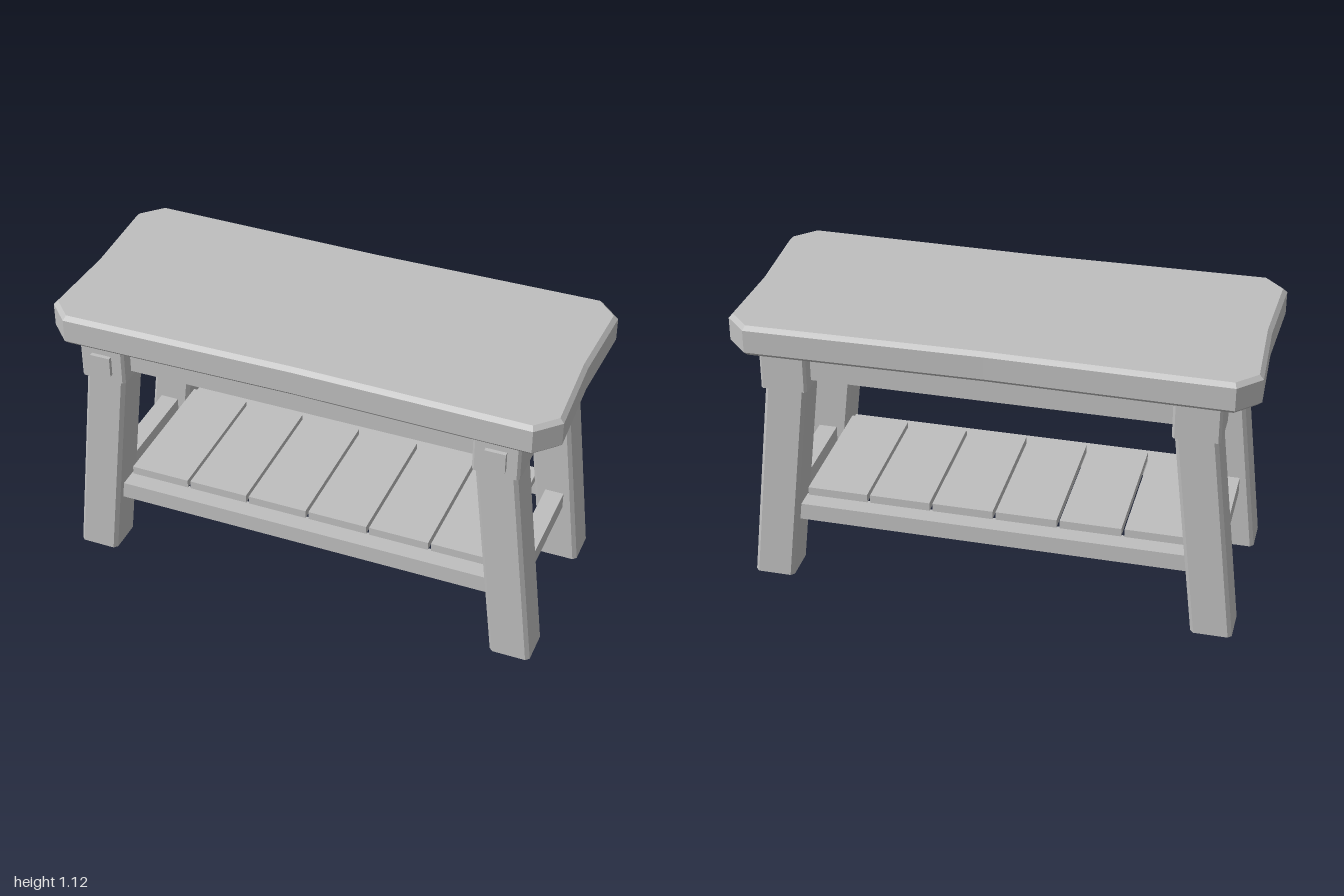
import * as THREE from 'three';

export function createModel() {
  const group = new THREE.Group();
  const wood = new THREE.MeshStandardMaterial({ color: 0xbfbfbf });
  wood.name = 'paleGrey';

  const add = (name, geometry, x = 0, y = 0, z = 0) => {
    const mesh = new THREE.Mesh(geometry, wood);
    mesh.name = name;
    mesh.position.set(x, y, z);
    group.add(mesh);
    return mesh;
  };
  const box = (name, w, h, d, x, y, z) =>
    add(name, new THREE.BoxGeometry(w, h, d), x, y, z);

  // Upright post with chamfered vertical edges, standing on y = 0
  const post = (w, d, h, c) => {
    const a = w / 2, b = d / 2;
    const shape = new THREE.Shape([
      [a, c - b], [a, b - c], [a - c, b], [c - a, b],
      [-a, b - c], [-a, c - b], [c - a, -b], [a - c, -b],
    ].map(([x, y]) => new THREE.Vector2(x, y)));
    return new THREE.ExtrudeGeometry(shape, { depth: h, bevelEnabled: false })
      .rotateX(-Math.PI / 2);
  };

  // Seat: clipped corners, slightly hollowed edges, small bevel all round
  const seatOutline = new THREE.Shape([
    [1, -0.35], [0.985, 0], [1, 0.35], [0.915, 0.437],
    [0, 0.425], [-0.915, 0.437], [-1, 0.35], [-0.985, 0],
    [-1, -0.35], [-0.915, -0.437], [0, -0.425], [0.915, -0.437],
  ].map(([x, y]) => new THREE.Vector2(x, y)));
  const bevel = 0.016;
  const seat = new THREE.ExtrudeGeometry(seatOutline, {
    depth: 0.123 - 2 * bevel, bevelSize: bevel, bevelThickness: bevel,
    bevelOffset: -bevel, bevelSegments: 1,
  }).rotateX(-Math.PI / 2);
  add('seat', seat, 0, 1.002 + bevel, 0);

  // Legs splay outwards along x, each topped by a square block
  const lean = 0.097 / 0.86;
  for (const sx of [-1, 1]) {
    for (const sz of [-1, 1]) {
      const leg = post(0.16, 0.16, 0.88, 0.014);
      leg.applyMatrix4(new THREE.Matrix4().makeShear(0, 0, -sx * lean, 0, 0, 0));
      const p = leg.attributes.position;
      // Guarantee the lean by height regardless of the vertex order
      const straight = post(0.16, 0.16, 0.88, 0.014).attributes.position;
      for (let i = 0; i < p.count; i++) {
        const y = straight.getY(i);
        p.setXYZ(i, straight.getX(i) - sx * lean * y, y, straight.getZ(i));
      }
      leg.computeVertexNormals();
      add('leg', leg, sx * 0.875, 0, sz * 0.315);
      add('legBlock', post(0.18, 0.184, 0.145, 0.01), sx * 0.78, 0.858, sz * 0.315);
    }
    // Square pegs on the front blocks
    box('peg', 0.08, 0.08, 0.04, sx * 0.78, 0.93, 0.403);
    // End rails
    box('endApron', 0.07, 0.11, 0.5, sx * 0.78, 0.938, 0);
    box('endStretcher', 0.075, 0.07, 0.5, sx * 0.843, 0.286, 0);
  }

  // Long rails, front and back
  for (const sz of [-1, 1]) {
    box('longApron', 1.44, 0.11, 0.07, 0, 0.938, sz * 0.315);
    box('longStretcher', 1.56, 0.07, 0.08, 0, 0.286, sz * 0.315);
  }

  // Shelf slats
  const pitch = 0.2525;
  for (let i = 0; i < 6; i++)
    box('shelfSlat', pitch - 0.012, 0.034, 0.57, (i - 2.5) * pitch, 0.338, 0);

  return group;
}
